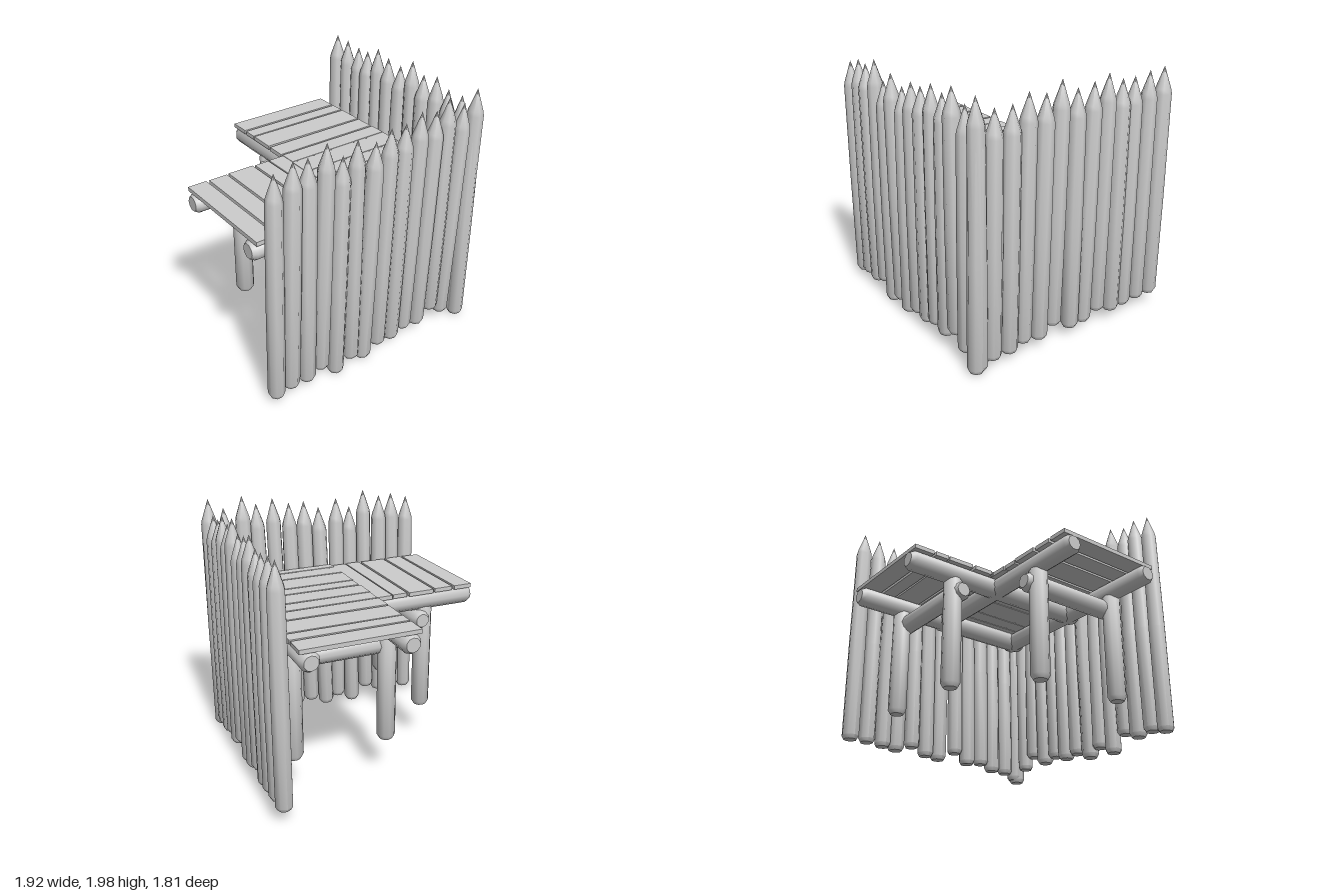
import * as THREE from 'three';
import { toCreasedNormals } from 'three/addons/utils/BufferGeometryUtils.js';

const wood = new THREE.MeshStandardMaterial({ color: 0xcccccc });

function seeded(seed) {
  return () => (seed = (seed * 16807) % 2147483647) / 2147483647;
}

function add(parent, geometry, name) {
  const mesh = new THREE.Mesh(geometry, wood);
  mesh.name = name;
  parent.add(mesh);
  return mesh;
}

function lathe(profile, sides) {
  const points = profile.map(([r, y]) => new THREE.Vector2(r, y));
  return toCreasedNormals(new THREE.LatheGeometry(points, sides).toNonIndexed(), 0.85);
}

// Upright stake with a sharpened tip, leaning from bottom point to top point
function stake(parent, bottom, top, rand) {
  const length = top.y - bottom.y;
  const r = 0.064 + rand() * 0.004;
  const geometry = lathe([
    [0, 0], [r * 0.75, 0], [r, 0.03], [r * 1.02, length * 0.45],
    [r * 0.95, length - 0.2], [r * 0.84, length - 0.165], [0, length],
  ], 8);
  geometry.rotateY(rand() * Math.PI);
  const mesh = add(parent, geometry, 'stake');
  mesh.position.copy(bottom);
  mesh.quaternion.setFromUnitVectors(
    new THREE.Vector3(0, 1, 0), top.clone().sub(bottom).normalize());
}

// Round log with bevelled ends between two points
function log(parent, name, a, b, r) {
  const from = new THREE.Vector3(...a), to = new THREE.Vector3(...b);
  const length = from.distanceTo(to);
  const mesh = add(parent, lathe([
    [0, 0], [r * 0.72, 0], [r, 0.035], [r, length - 0.035], [r * 0.72, length], [0, length],
  ], 10), name);
  mesh.position.copy(from);
  mesh.quaternion.setFromUnitVectors(new THREE.Vector3(0, 1, 0), to.sub(from).normalize());
}

// Row of boards; spans are [start, end] across the row
function boards(parent, name, spans, lo, hi, alongX, top, rand) {
  for (const [s, e] of spans) {
    const width = e - s, length = hi - lo, t = 0.032;
    const geometry = alongX
      ? new THREE.BoxGeometry(length, t, width)
      : new THREE.BoxGeometry(width, t, length);
    const mesh = add(parent, geometry, name);
    const across = (s + e) / 2, along = (lo + hi) / 2 + (rand() - 0.5) * 0.01;
    mesh.position.set(alongX ? along : across, top - t / 2, alongX ? across : along);
    mesh.rotation.y = (rand() - 0.5) * 0.016;
  }
}

export function createModel() {
  const model = new THREE.Group();
  model.name = 'palisadeCorner';
  const rand = seeded(71);

  // Front palisade: [bottom x, top x, bottom y, top y]
  const front = new THREE.Group();
  front.name = 'frontPalisade';
  model.add(front);
  [
    [-0.87, -0.86, 0.05, 1.86], [-0.745, -0.715, 0.08, 1.9], [-0.605, -0.6, 0.07, 1.89],
    [-0.48, -0.45, 0.12, 1.95], [-0.34, -0.32, 0.01, 1.82], [-0.2, -0.2, 0.08, 1.9],
    [-0.085, -0.04, 0.03, 1.84], [0.06, 0.09, 0.09, 1.9], [0.195, 0.22, 0.08, 1.9],
    [0.32, 0.36, 0.12, 1.95], [0.46, 0.5, 0.1, 1.92], [0.6, 0.615, 0.18, 1.99],
    [0.725, 0.77, 0.1, 1.91], [0.885, 0.89, 0.04, 1.99],
  ].forEach(([x0, x1, y0, y1]) => stake(front,
    new THREE.Vector3(x0, y0, 0.81), new THREE.Vector3(x1, y1, 0.82), rand));

  // Side palisade: [bottom z, top z, bottom y, top y]
  const side = new THREE.Group();
  side.name = 'sidePalisade';
  model.add(side);
  [
    [0.835, 0.81, 0.02, 1.84], [0.7, 0.68, 0.08, 1.89], [0.56, 0.54, 0.08, 1.89],
    [0.44, 0.41, 0.12, 1.95], [0.3, 0.27, 0.1, 1.92], [0.175, 0.14, 0.17, 1.99],
    [0.01, 0.005, 0.09, 1.91], [-0.11, -0.14, 0.1, 1.93], [-0.245, -0.27, 0.15, 1.97],
    [-0.39, -0.4, 0.1, 1.91], [-0.51, -0.515, 0.11, 1.91], [-0.65, -0.66, 0.12, 1.93],
    [-0.79, -0.8, 0.12, 1.94],
  ].forEach(([z0, z1, y0, y1]) => stake(side,
    new THREE.Vector3(0.885, y0, z0), new THREE.Vector3(0.89, y1, z1), rand));

  // L-shaped walkway: two overlapping sets of boards
  const deck = new THREE.Group();
  deck.name = 'walkway';
  model.add(deck);
  boards(deck, 'backWingBoard', [
    [-0.89, -0.725], [-0.705, -0.595], [-0.58, -0.37], [-0.35, -0.195], [-0.18, -0.045],
    [-0.03, 0.145], [0.16, 0.275], [0.29, 0.5], [0.515, 0.66], [0.675, 0.75],
  ], -0.12, 0.78, true, 1.348, rand);
  boards(deck, 'rightWingBoard', [
    [-0.945, -0.795], [-0.775, -0.625], [-0.605, -0.395], [-0.375, -0.255], [-0.245, -0.085],
    [-0.07, 0.075], [0.09, 0.24], [0.255, 0.465], [0.48, 0.595], [0.61, 0.78],
  ], -0.17, 0.73, false, 1.344, rand);

  // Bearers under the boards
  const frame = new THREE.Group();
  frame.name = 'frame';
  model.add(frame);
  for (const x of [-0.045, 0.7]) log(frame, 'bearer', [x, 1.245, -0.905], [x, 1.245, 0.74], 0.077);
  for (const z of [-0.09, 0.655]) log(frame, 'bearer', [-0.965, 1.245, z], [0.78, 1.245, z], 0.077);

  // Lower cross logs
  log(frame, 'crossLog', [-0.135, 1.1, -0.46], [0.8, 1.1, -0.46], 0.075);
  log(frame, 'crossLog', [-0.51, 1.1, -0.19], [-0.51, 1.1, 0.74], 0.075);

  // Posts
  for (const [x, z] of [[-0.045, -0.5], [0.7, -0.5], [-0.56, -0.09], [-0.56, 0.655]]) {
    log(frame, 'post', [x, 0.33, z], [x, 1.22, z], 0.072);
  }
  return model;
}
